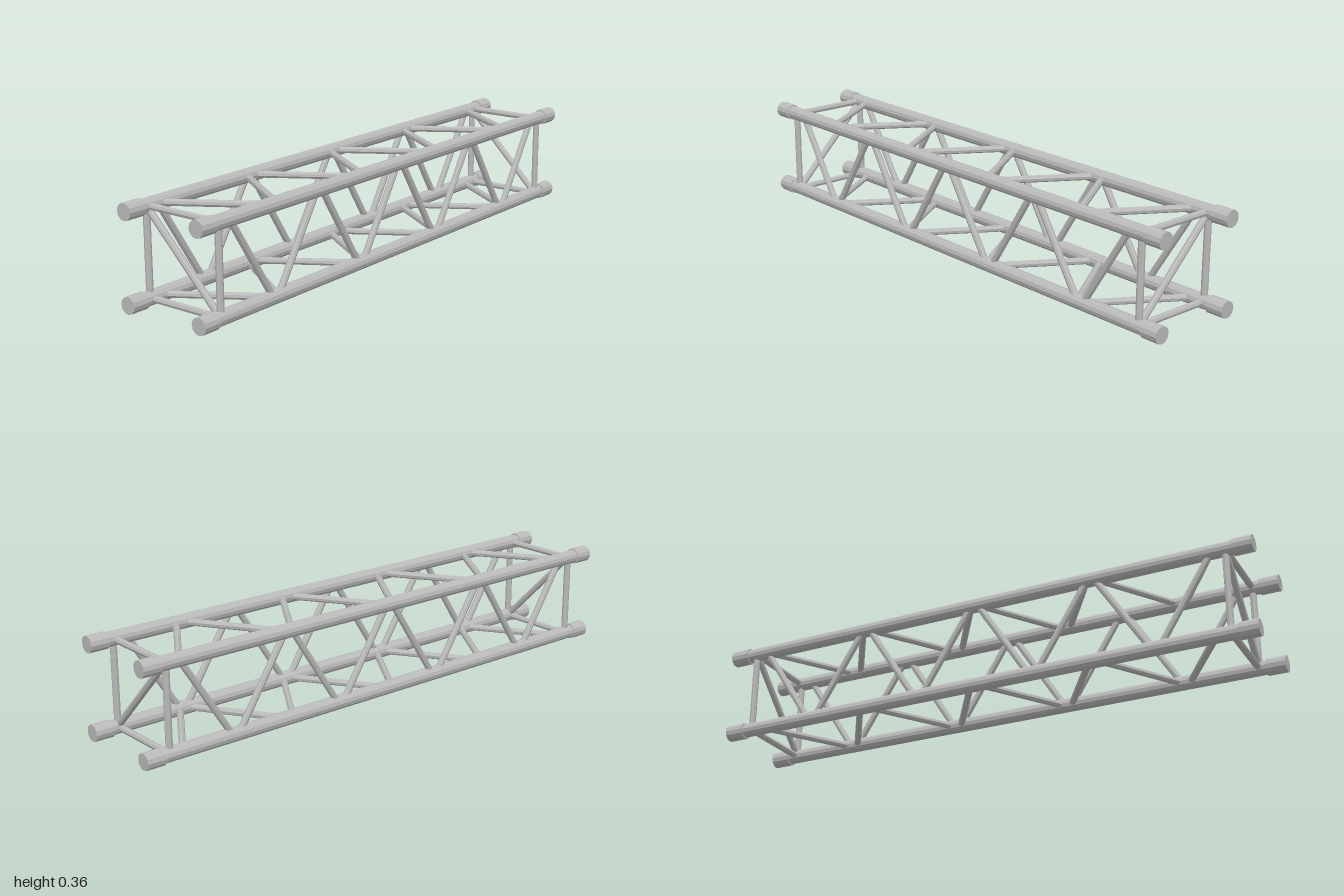
import * as THREE from 'three';

const LOW = 0.029, HIGH = 0.329, SIDE = 0.15; // chord centre lines
const CHORD_R = 0.0245, SLEEVE_R = 0.029, STRUT_R = 0.0118;
const END_X = 0.905;                          // end frame position

export function createModel() {
  const model = new THREE.Group();
  const aluminium = new THREE.MeshStandardMaterial({ color: 0xbababa, flatShading: true });
  aluminium.name = 'aluminium';

  // Round bar between two points
  function bar(name, a, b, radius, sides) {
    const from = new THREE.Vector3(...a), to = new THREE.Vector3(...b);
    const dir = to.clone().sub(from);
    const mesh = new THREE.Mesh(new THREE.CylinderGeometry(radius, radius, dir.length(), sides), aluminium);
    mesh.name = name;
    mesh.position.copy(from).add(to).multiplyScalar(0.5);
    mesh.quaternion.setFromUnitVectors(new THREE.Vector3(0, 1, 0), dir.normalize());
    model.add(mesh);
  }

  // Four long chords with a coupling sleeve at each end
  for (const y of [LOW, HIGH]) {
    for (const z of [-SIDE, SIDE]) {
      bar('chord', [-0.99, y, z], [0.99, y, z], CHORD_R, 12);
      for (const s of [-1, 1]) bar('couplingSleeve', [s * 0.932, y, z], [s, y, z], SLEEVE_R, 12);
    }
  }

  // Square end frames, each with one diagonal brace
  for (const x of [-END_X, END_X]) {
    for (const z of [-SIDE, SIDE]) bar('endPost', [x, LOW, z], [x, HIGH, z], STRUT_R, 8);
    for (const y of [LOW, HIGH]) bar('endCrossbar', [x, y, -SIDE], [x, y, SIDE], STRUT_R, 8);
    bar('endBrace', [x, LOW, SIDE], [x, HIGH, -SIDE], STRUT_R, 8);
  }

  // Zigzag lacing on the four long faces
  const panels = 8, step = 1.74 / panels, gap = 0.013;
  for (let i = 0; i < panels; i++) {
    const x0 = -0.87 + i * step + gap, x1 = -0.87 + (i + 1) * step - gap;
    const down = i % 2 === 0;
    const [ya, yb] = down ? [HIGH, LOW] : [LOW, HIGH];
    const [za, zb] = down ? [-SIDE, SIDE] : [SIDE, -SIDE];
    for (const z of [-SIDE, SIDE]) bar('sideLacing', [x0, ya, z], [x1, yb, z], STRUT_R, 8);
    for (const y of [LOW, HIGH]) bar('flatLacing', [x0, y, za], [x1, y, zb], STRUT_R, 8);
  }

  return model;
}
